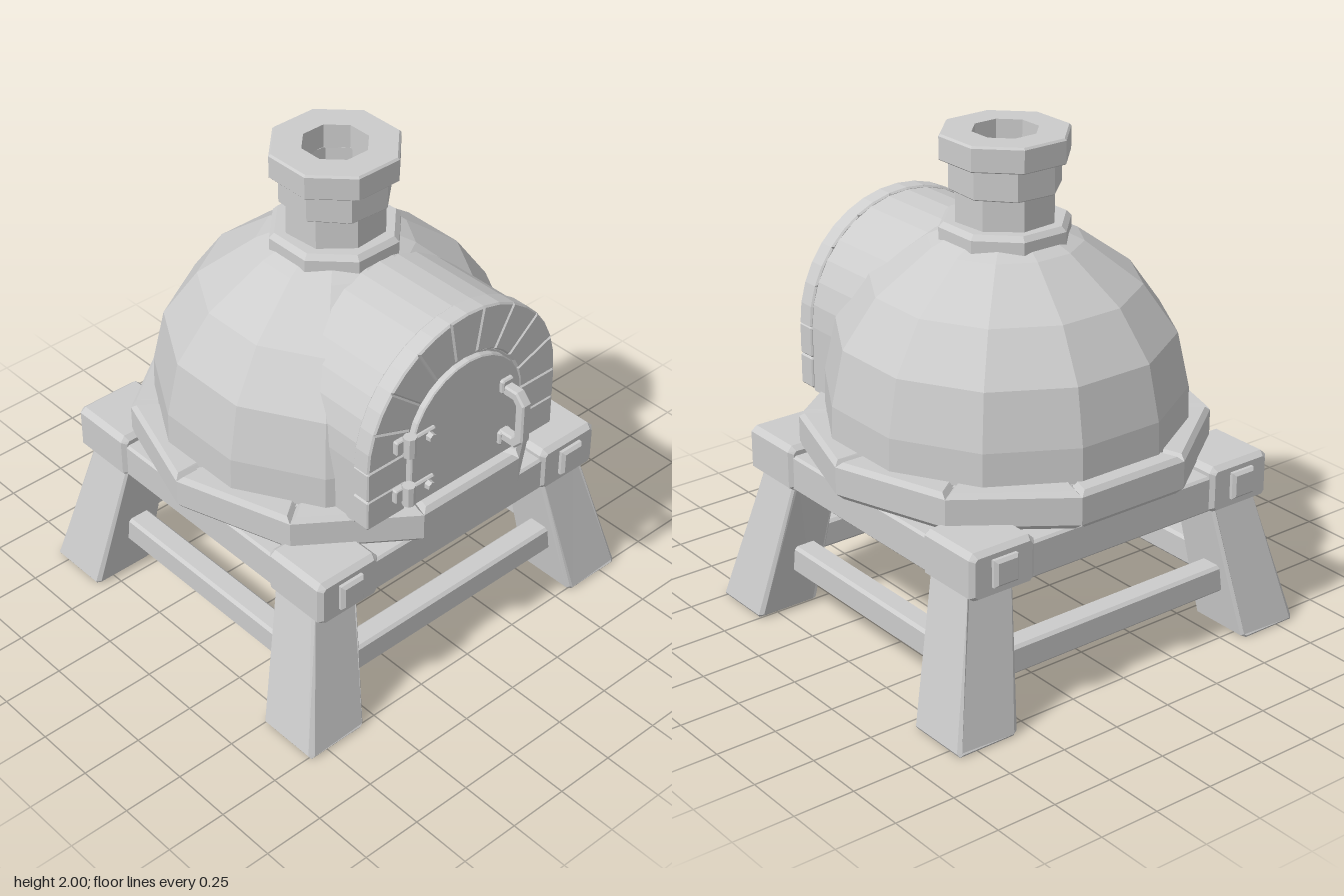
import * as THREE from 'three';

const CZ = -0.023; // middle of the dome and stand along z

export function createModel() {
  const root = new THREE.Group();
  root.name = 'outdoorOven';
  const stone = new THREE.MeshStandardMaterial({ color: 0xcccccc });
  stone.name = 'stone grey';

  const add = (name, geo, parent = root) => {
    const g = geo.index ? geo.toNonIndexed() : geo;
    g.computeVertexNormals(); // faceted look
    const m = new THREE.Mesh(g, stone);
    m.name = name;
    parent.add(m);
    return m;
  };
  const group = (name) => {
    const g = new THREE.Group();
    g.name = name;
    root.add(g);
    return g;
  };

  // Extrusion from z = 0 to depth with chamfers kept inside the outline
  const slab = (pts, depth, b) => {
    const shape = new THREE.Shape(pts.map(([x, y]) => new THREE.Vector2(x, y)));
    return new THREE.ExtrudeGeometry(shape, {
      depth: depth - 2 * b, bevelEnabled: b > 0, bevelThickness: b,
      bevelSize: b, bevelOffset: -b, bevelSegments: 1,
    }).translate(0, 0, b);
  };
  // Centred box with chamfered edges
  const block = (w, h, d, b) => {
    const x = w / 2, y = h / 2;
    return slab([[x, -y + b], [x, y - b], [x - b, y], [-x + b, y],
      [-x, y - b], [-x, -y + b], [-x + b, -y], [x - b, -y]], d, b * 0.8).translate(0, 0, -d / 2);
  };
  const lathe = (pts, sides) => new THREE.LatheGeometry(
    pts.map(([x, y]) => new THREE.Vector2(x, y)), sides, Math.PI / sides);
  // Outline of an arched opening
  const arch = (r, bottom, n) => {
    const pts = [[-r, bottom], [r, bottom]];
    for (let i = 0; i <= n; i++) {
      const a = (i / n) * Math.PI;
      pts.push([r * Math.cos(a), 1.13 + r * Math.sin(a)]);
    }
    return pts;
  };

  // Ten wedge stones around the hearth, over a floor plate
  const hearth = group('hearth');
  hearth.position.set(0, 0.72, CZ);
  const h = Math.PI / 10, R = 0.8, r = 0.4;
  for (let i = 0; i < 10; i++) {
    const wedge = slab([[r * Math.cos(h), -r * Math.sin(h)], [R * Math.cos(h), -R * Math.sin(h)],
      [R * Math.cos(h), R * Math.sin(h)], [r * Math.cos(h), r * Math.sin(h)]], 0.15, 0.02);
    wedge.rotateX(-Math.PI / 2).rotateY(h * (2 * i + 1));
    add('hearthStone', wedge, hearth);
  }
  add('hearthFloor', new THREE.CylinderGeometry(0.7, 0.7, 0.14, 10).rotateY(Math.PI / 2).translate(0, 0.064, 0), hearth);

  // Dome with a flat cap
  add('dome', lathe([[0.712, 0.86], [0.708, 1.0], [0.66, 1.22], [0.525, 1.41],
    [0.3, 1.575], [0.2, 1.62], [0, 1.62]], 12)).position.z = CZ;

  // Chimney of stacked octagonal rings, slightly turned against each other
  const chimney = group('chimney');
  chimney.position.z = CZ;
  [[0.26, 1.58, 1.66, 0.02, 0], [0.2, 1.65, 1.785, 0.005, 0.08],
    [0.217, 1.78, 1.905, 0.008, -0.06], [0.256, 1.9, 2, 0.008, 0]].forEach(([q, y0, y1, b, turn]) => {
    const ring = lathe([[0.13, y0], [q - b * 0.5, y0], [q, y0 + b * 0.5],
      [q, y1 - b], [q - b, y1], [0.13, y1], [0.13, y0]], 8);
    add('chimneyRing', ring.rotateY(turn), chimney);
  });

  // Entrance vault and its brick surround
  add('entranceVault', slab(arch(0.47, 0.86, 16), 0.4, 0)).position.z = 0.2;
  const surround = group('brickSurround');
  surround.position.z = 0.6;
  const ri = 0.29, ro = 0.478;
  for (let i = 0; i < 9; i++) {
    const a = (k) => ((i + k) * Math.PI) / 9;
    const p = (q, k) => [q * Math.cos(a(k)), 1.13 + q * Math.sin(a(k))];
    add('archBrick', slab([p(ri, 0), p(ro, 0), p(ro, 0.5), p(ro, 1), p(ri, 1), p(ri, 0.5)], 0.08, 0.007), surround);
  }
  for (const s of [-1, 1]) for (const y of [0.87, 1.0]) {
    add('sideBrick', block(ro - ri, 0.13, 0.08, 0.007), surround)
      .position.set(s * (ro + ri) / 2, y + 0.065, 0.04);
  }

  // Door with frame
  const door = group('door');
  add('doorFrame', slab(arch(0.293, 0.87, 14), 0.07, 0.005), door).position.z = 0.6;
  add('doorPanel', slab(arch(0.28, 0.88, 14), 0.1, 0.005), door).position.z = 0.597;

  // Hinges
  for (const y of [0.968, 1.192]) {
    const hinge = group('hinge');
    hinge.position.set(0, y, 0.7);
    add('hingeBarrel', new THREE.CylinderGeometry(0.026, 0.026, 0.085, 8).translate(-0.305, 0, 0.012), hinge);
    add('hingeLeaf', block(0.05, 0.06, 0.03, 0.005).translate(-0.332, 0, -0.013), hinge);
    add('hingeStrap', block(0.125, 0.05, 0.02, 0.008).translate(-0.235, 0, 0.005), hinge);
    add('hingeBolt', new THREE.CylinderGeometry(0.017, 0.02, 0.03, 6).rotateX(Math.PI / 2).translate(-0.212, 0, 0.023), hinge);
  }

  // Handle: chamfered bracket drawn in side profile, then turned to face forward
  const handle = group('handle');
  handle.position.set(0.193, 1.09, 0);
  const grip = slab([[0.69, -0.128], [0.775, -0.128], [0.815, -0.085], [0.815, 0.085], [0.775, 0.128], [0.69, 0.128],
    [0.69, 0.086], [0.758, 0.086], [0.772, 0.068], [0.772, -0.068], [0.758, -0.086], [0.69, -0.086]], 0.046, 0.007);
  add('handleGrip', grip.translate(0, 0, -0.023).rotateY(-Math.PI / 2), handle);
  for (const y of [-0.12, 0.12]) add('handlePlate', block(0.06, 0.06, 0.03, 0.007).translate(0, y, 0.7), handle);

  // Four splayed legs with head blocks and bolts
  const lerp = THREE.MathUtils.lerp;
  for (const sx of [-1, 1]) for (const sz of [-1, 1]) {
    const leg = group(sz > 0 ? 'frontLeg' : 'backLeg');
    leg.position.z = CZ - 0.002;
    const geo = block(1, 1, 1, 0.06), pos = geo.attributes.position;
    for (let i = 0; i < pos.count; i++) {
      const t = pos.getY(i) + 0.5; // 0 at the foot, 1 at the head
      const w = lerp(0.278, 0.212, t);
      const y = t > 0.5 ? 0.6 - (1 - t) * 0.2 : t * 0.2;
      pos.setXYZ(i, sx * lerp(0.706, 0.583, t) + pos.getX(i) * w, y,
        sz * lerp(0.66, 0.541, t) + pos.getZ(i) * w);
    }
    add('legPost', geo, leg);
    const head = block(0.294, 0.188, 0.294, 0.022), hp = head.attributes.position;
    for (let i = 0; i < hp.count; i++) { // wide chamfer on top, sharper at the foot
      if (hp.getY(i) < 0) hp.setY(i, Math.max(hp.getY(i) * 1.1, -0.094));
      else if (hp.getY(i) > 0.09) hp.setZ(i, hp.getZ(i) * 0.96);
    }
    add('legHead', head.translate(sx * 0.576, 0.653, sz * 0.575), leg);
    const s = 0.055;
    const bolt = slab([[-s, -s], [s, -s], [s, s], [-s, s]], 0.06, 0.012);
    add('headBolt', bolt.translate(sx * 0.578, 0.655, sz * 0.717 - 0.03), leg);
  }

  // Upper rails and lower stretchers on all four sides
  const frame = group('frame');
  frame.position.z = CZ;
  for (let i = 0; i < 4; i++) {
    const turn = (g) => g.rotateY((i * Math.PI) / 2);
    add('upperRail', turn(block(1.0, 0.15, 0.14, 0.012).translate(0, 0.636, 0.638)), frame);
    add('lowerStretcher', turn(block(1.15, 0.118, 0.1, 0.015).translate(0, 0.231, 0.635)), frame);
  }
  return root;
}
